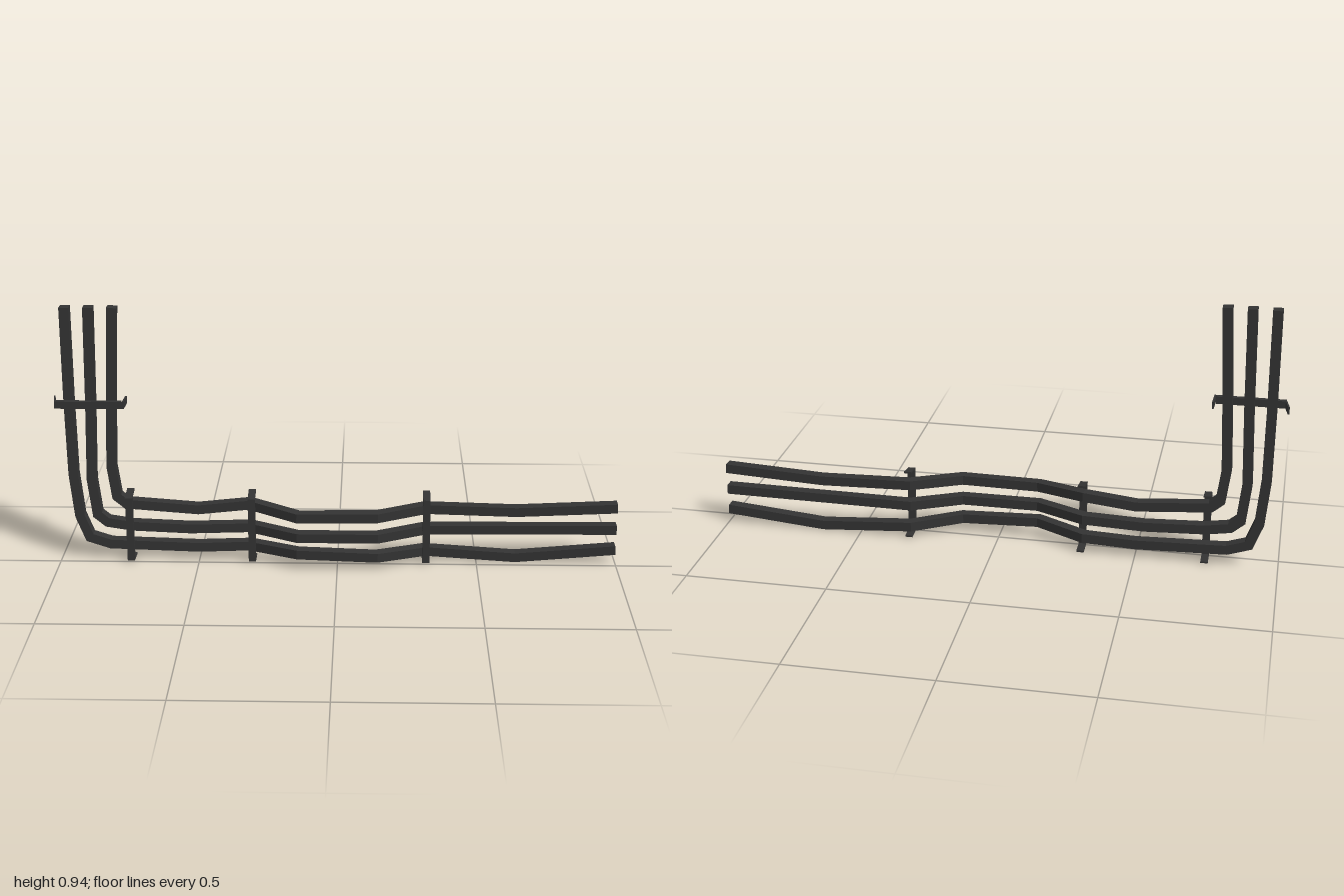
import * as THREE from 'three';

const rubber = new THREE.MeshStandardMaterial({ color: 0x333333 });
rubber.name = 'dark rubber';

// Square bar swept along points, with mitred corners and closed ends
function sweep(points, width, depth) {
  const pts = points.map((p) => new THREE.Vector3(...p));
  const dirs = pts.slice(1).map((p, i) => p.clone().sub(pts[i]).normalize());
  const across = new THREE.Vector3(0, 0, 1).cross(dirs[0]).normalize();
  const out = dirs[0].clone().cross(across);
  let ring = [[1, 1], [-1, 1], [-1, -1], [1, -1]].map(([a, b]) =>
    pts[0].clone().addScaledVector(across, a * width / 2).addScaledVector(out, b * depth / 2));
  const rings = [ring];
  for (let i = 1; i < pts.length; i++) {
    const d = dirs[i - 1];
    const n = d.clone().add(dirs[i] || d).normalize();
    ring = ring.map((v) => v.clone().addScaledVector(d, pts[i].clone().sub(v).dot(n) / d.dot(n)));
    rings.push(ring);
  }
  const pos = [];
  const quad = (a, b, c, d) => [a, b, c, a, c, d].forEach((v) => pos.push(v.x, v.y, v.z));
  for (let i = 1; i < rings.length; i++) {
    for (let k = 0; k < 4; k++) {
      const m = (k + 1) % 4;
      quad(rings[i - 1][k], rings[i - 1][m], rings[i][m], rings[i][k]);
    }
  }
  const [a, b, c, d] = rings[0];
  quad(d, c, b, a);
  quad(...rings[rings.length - 1]);
  const geo = new THREE.BufferGeometry();
  geo.setAttribute('position', new THREE.Float32BufferAttribute(pos, 3));
  geo.computeVertexNormals();
  return geo;
}

// Every cable lies against the wall and steps forward in the middle of its run
function wallDepth(x) {
  const s = THREE.MathUtils.clamp((0.315 - Math.abs(x)) / 0.175, 0, 1);
  return -0.043 + 0.085 * s;
}

const cables = {
  outerCable: [[-0.942, 0.945], [-0.944, 0.6], [-0.942, 0.33], [-0.927, 0.17], [-0.895, 0.085],
    [-0.82, 0.06], [-0.5, 0.05], [-0.315, 0.057], [-0.14, 0.062], [0.14, 0.052], [0.315, 0.042],
    [0.64, 0.02], [1, 0.052]],
  middleCable: [[-0.86, 0.945], [-0.868, 0.6], [-0.878, 0.31], [-0.863, 0.175], [-0.828, 0.145],
    [-0.74, 0.131], [-0.53, 0.122], [-0.315, 0.129], [-0.14, 0.126], [0.14, 0.126], [0.315, 0.126],
    [1, 0.131]],
  innerCable: [[-0.778, 0.945], [-0.795, 0.6], [-0.805, 0.36], [-0.79, 0.245], [-0.757, 0.217],
    [-0.5, 0.197], [-0.315, 0.217], [-0.14, 0.202], [0.14, 0.205], [0.315, 0.206], [0.64, 0.197],
    [1, 0.214]],
};

export function createModel() {
  const group = new THREE.Group();
  const add = (geo, name) => {
    const mesh = new THREE.Mesh(geo, rubber);
    mesh.name = name;
    group.add(mesh);
    return mesh;
  };

  // Three cables
  for (const [name, path] of Object.entries(cables)) {
    add(sweep(path.map(([x, y]) => [x, y, wallDepth(x)]), 0.034, 0.037), name);
  }

  // Bracket: front strap with two feet bent back to the wall, seen in profile
  const profile = new THREE.Shape([
    [0, -0.122], [0, 0.114], [0.065, 0.126], [0.065, 0.132], [0.002, 0.12],
    [-0.002, 0.12], [-0.002, -0.128], [0.065, -0.131], [0.065, -0.125],
  ].map(([z, y]) => new THREE.Vector2(z, y * 0.98)));
  // Give the strap its thickness towards the wall
  const strap = new THREE.BoxGeometry(0.026, 0.235, 0.014);
  const feet = new THREE.ExtrudeGeometry(profile, { depth: 0.026, bevelEnabled: false });
  feet.translate(0, 0, -0.013).rotateY(Math.PI / 2);
  const bracket = (x, y, turn, name) => {
    const b = new THREE.Group();
    b.name = name;
    const front = new THREE.Mesh(strap, rubber);
    front.name = 'strap';
    front.position.z = -0.009;
    const bent = new THREE.Mesh(feet, rubber);
    bent.name = 'feet';
    bent.position.z = -0.001;
    b.add(front, bent);
    b.position.set(x, y, 0);
    b.rotation.z = turn;
    group.add(b);
  };
  [-0.745, -0.307, 0.318].forEach((x, i) => bracket(x, 0.133, 0, 'bracket' + (i + 1)));
  bracket(-0.872, 0.6, Math.PI / 2, 'upperBracket');
  return group;
}
